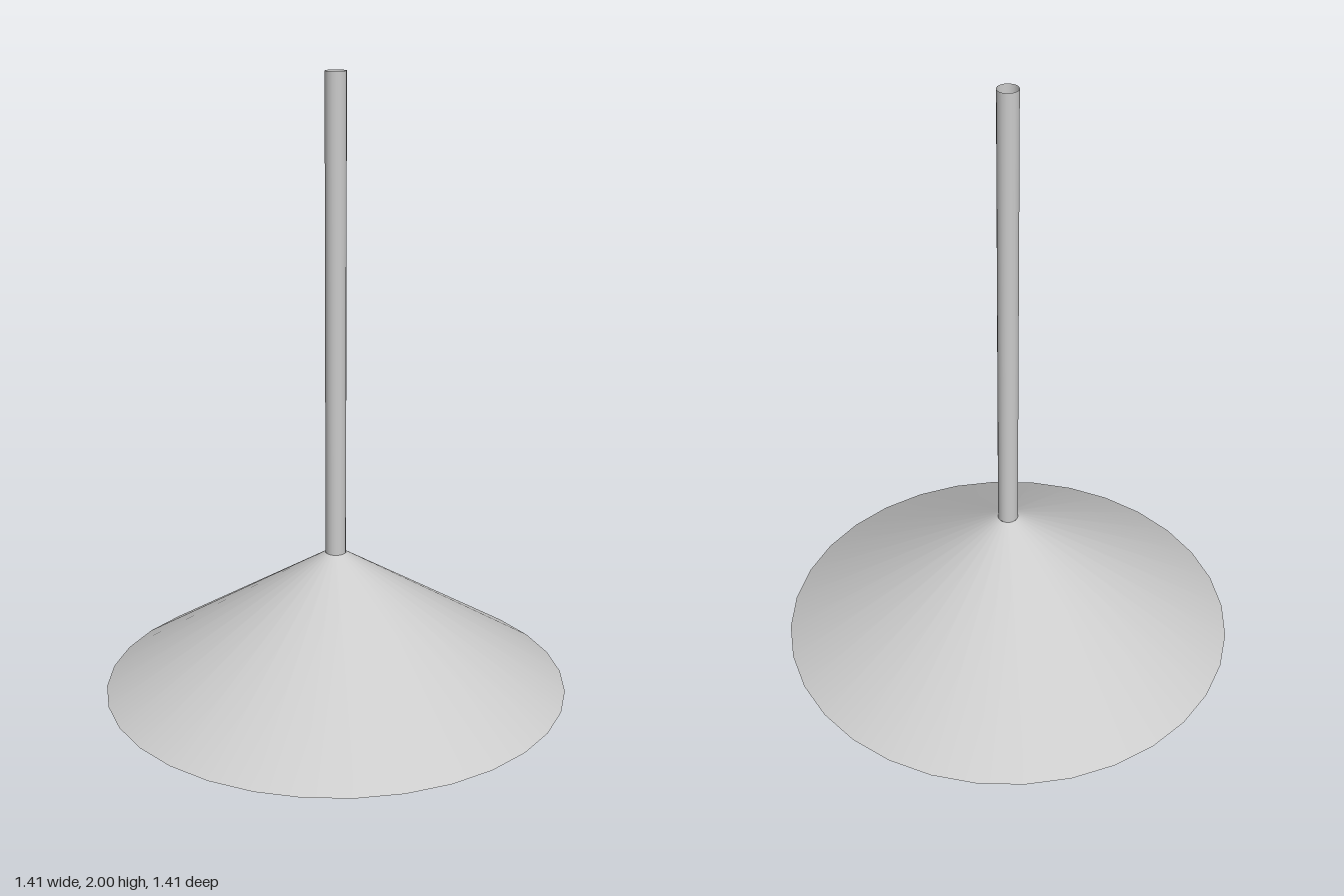
import * as THREE from 'three';

const material = new THREE.MeshStandardMaterial({ color: 0xcccccc, side: THREE.DoubleSide });

function lathe(name, profile, sides) {
  const points = profile.map(([r, y]) => new THREE.Vector2(r, y));
  const mesh = new THREE.Mesh(new THREE.LatheGeometry(points, sides), material);
  mesh.name = name;
  return mesh;
}

export function createModel() {
  const lamp = new THREE.Group();
  lamp.name = 'pendantLamp';

  // Hollow hanging rod, open at the top
  lamp.add(lathe('rod', [[0.031, 0.57], [0.031, 2]], 16));

  // Thin conical shade, open below
  lamp.add(lathe('shade', [[0.707, 0.145], [0.031, 0.57]], 32));

  // Slimmer stem between the shade and the bulb
  lamp.add(lathe('stem', [[0.028, 0.36], [0.028, 0.57]], 16));

  // Pear-shaped bulb: round bottom, then a taper to the neck
  const bulb = [];
  for (let i = 0; i <= 8; i++) {
    const a = (i / 8) * Math.PI / 2;
    bulb.push([0.095 * Math.sin(a), 0.1 - 0.1 * Math.cos(a)]);
  }
  bulb.push([0.093, 0.15], [0.086, 0.195], [0.074, 0.24], [0.06, 0.285],
    [0.05, 0.325], [0.044, 0.348], [0.037, 0.358], [0.028, 0.362]);
  lamp.add(lathe('bulb', bulb, 24));

  return lamp;
}
